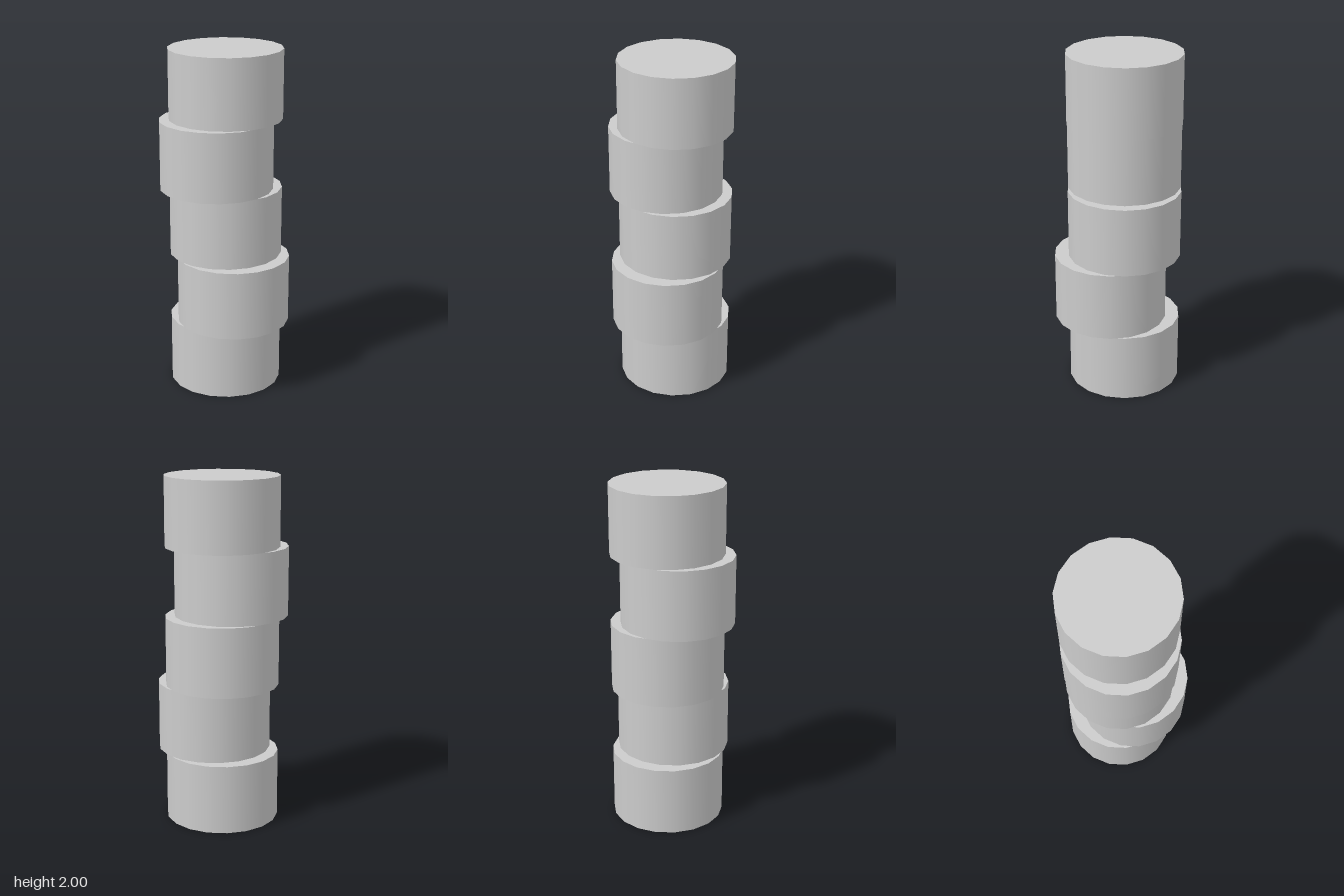
import * as THREE from 'three';

const RADIUS = 0.327, HEIGHT = 0.4, SIDES = 18;
const OFFSET_X = 0.0315, OFFSET_Z = 0.04;

export function createModel() {
  const group = new THREE.Group();
  group.name = 'staggeredColumn';
  const material = new THREE.MeshStandardMaterial({ color: 0xcccccc });

  // One drum shape, with a corner pointing along +x
  const drum = new THREE.CylinderGeometry(RADIUS, RADIUS, HEIGHT, SIDES, 1, false, Math.PI / 2);

  // Sideways shift of each drum, from bottom to top
  const shifts = [[1, -1], [1, 1], [1, -1], [-1, -1], [1, -1]];
  shifts.forEach(([sx, sz], i) => {
    const mesh = new THREE.Mesh(drum, material);
    mesh.name = `drum${i + 1}`;
    mesh.position.set(sx * OFFSET_X, HEIGHT * (i + 0.5), sz * OFFSET_Z);
    group.add(mesh);
  });
  return group;
}
